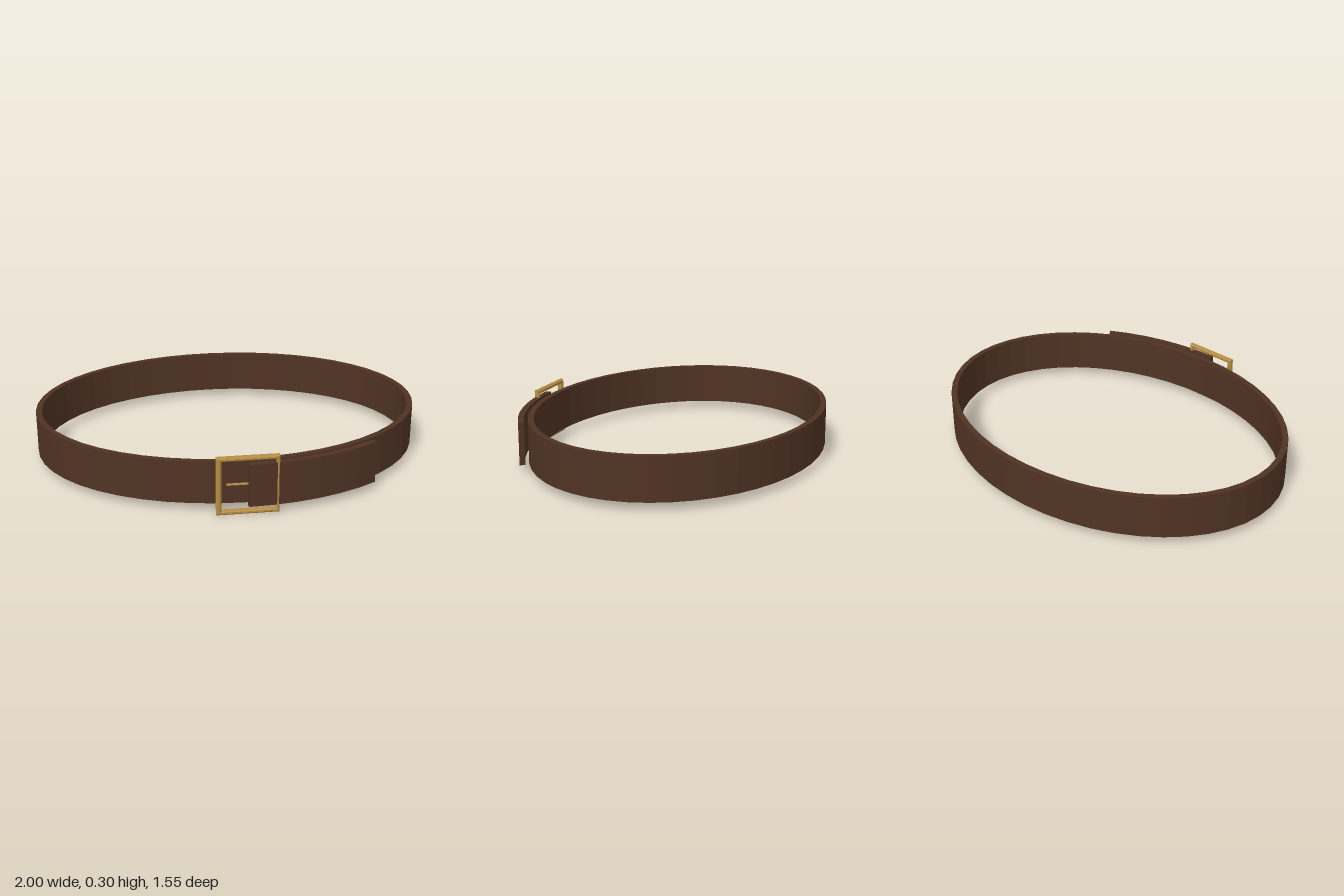
import * as THREE from 'three';

const LEATHER = 0x503324, BRASS = 0xb58d45;
const STRAP_BOTTOM = 0.04, STRAP_HEIGHT = 0.22, CENTER_Z = -0.03, THICKNESS = 0.03;

function addMesh(group, name, geometry, material) {
  const mesh = new THREE.Mesh(geometry, material);
  mesh.name = name;
  group.add(mesh);
  return mesh;
}

// Plan-view points on an ellipse; angle 0 is the front, growing towards +x
function arc(rx, rz, from, to, segments) {
  return Array.from({ length: segments + 1 }, (_, i) => {
    const a = from + (to - from) * i / segments;
    return new THREE.Vector2(rx * Math.sin(a), -(rz * Math.cos(a) + CENTER_Z));
  });
}

// Raise a plan-view outline to the height of the strap
function strapGeometry(shape) {
  return new THREE.ExtrudeGeometry(shape, { depth: STRAP_HEIGHT, bevelEnabled: false })
    .rotateX(-Math.PI / 2)
    .translate(0, STRAP_BOTTOM, 0);
}

function rectangle(path, x0, y0, x1, y1) {
  path.moveTo(x0, y0);
  path.lineTo(x1, y0);
  path.lineTo(x1, y1);
  path.lineTo(x0, y1);
  path.closePath();
  return path;
}

export function createModel() {
  const group = new THREE.Group();
  group.name = 'belt';
  const leather = new THREE.MeshStandardMaterial({ color: LEATHER, flatShading: true });
  const brass = new THREE.MeshStandardMaterial({ color: BRASS, flatShading: true });

  // Closed oval strap
  const ring = new THREE.Shape(arc(1, 0.75, 0, Math.PI * 2, 48).slice(0, -1));
  ring.holes.push(new THREE.Path(
    arc(1 - THICKNESS, 0.75 - THICKNESS, 0, Math.PI * 2, 48).slice(0, -1)));
  addMesh(group, 'strap', strapGeometry(ring), leather);

  // Loose end overlapping the strap outside the front
  const tailAngle = THREE.MathUtils.degToRad(39);
  const tail = new THREE.Shape([
    ...arc(1.05, 0.8, 0, tailAngle, 6),
    ...arc(1.05 - THICKNESS, 0.8 - THICKNESS, 0, tailAngle, 6).reverse(),
  ]);
  addMesh(group, 'strapTail', strapGeometry(tail), leather);

  // Bevelled buckle frame
  const buckle = new THREE.Group();
  buckle.name = 'buckle';
  buckle.position.set(0, 0.15, 0.75);
  group.add(buckle);
  const bevel = 0.007;
  const outline = rectangle(new THREE.Shape(), -0.148, -0.143, 0.143, 0.143);
  outline.holes.push(rectangle(new THREE.Path(), -0.137, -0.135, 0.14, 0.135));
  const frame = new THREE.ExtrudeGeometry(outline, {
    depth: 0.016, bevelSize: bevel, bevelThickness: bevel, bevelSegments: 1,
  }).translate(0, 0, -0.008);
  addMesh(buckle, 'buckleFrame', frame, brass);

  // Prong reaching under the loose end
  const prong = new THREE.CylinderGeometry(0.006, 0.006, 0.22, 8).rotateZ(Math.PI / 2);
  addMesh(buckle, 'buckleProng', prong, brass).position.set(0.005, 0.005, 0);

  return group;
}
